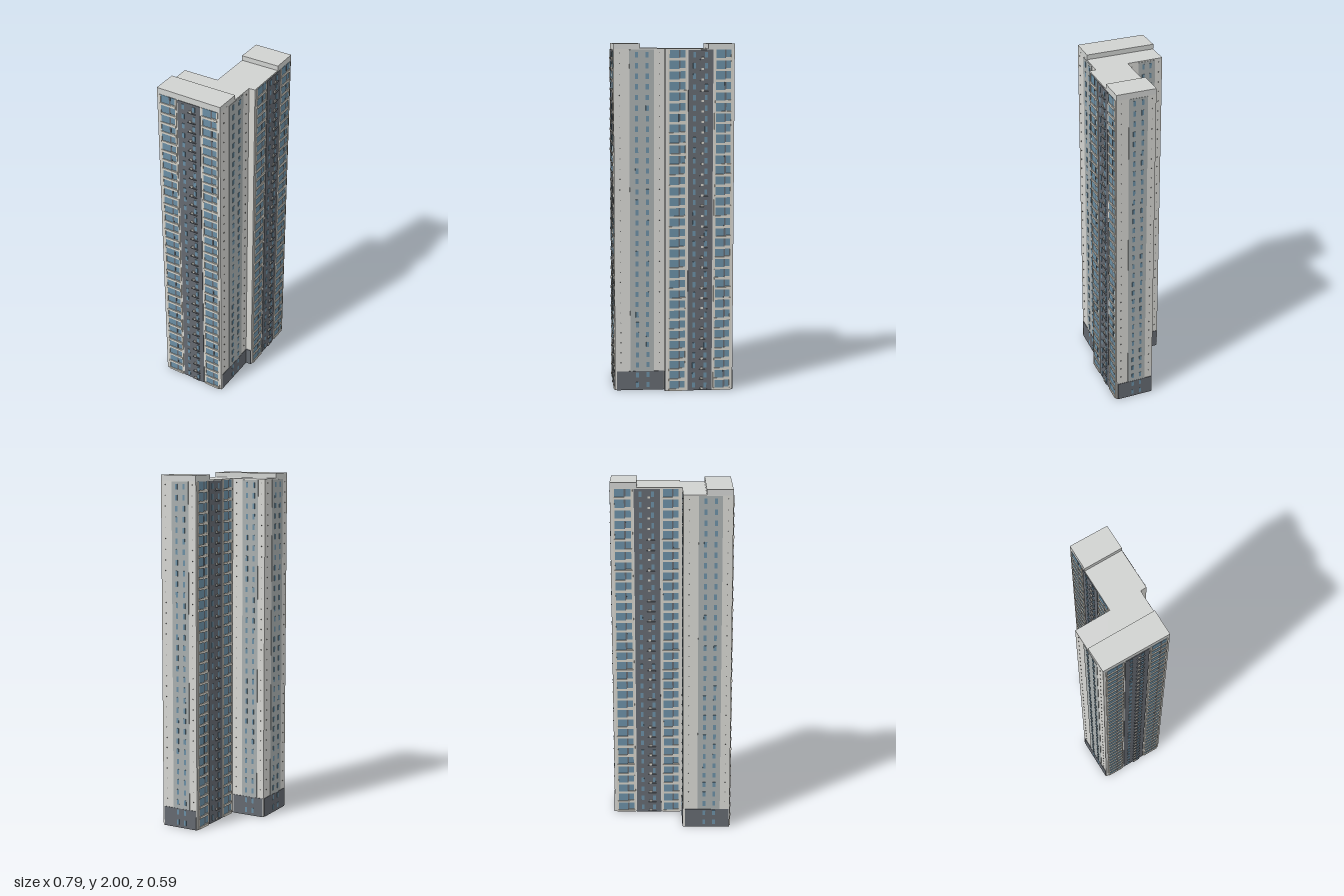
import * as THREE from 'three';
import { mergeGeometries } from 'three/addons/utils/BufferGeometryUtils.js';

const mat = (name, color) => {
  const m = new THREE.MeshStandardMaterial({ color });
  m.name = name;
  return m;
};

const FLOORS = 33, EAVES = 1.965, PITCH = EAVES / FLOORS;

// Footprint corners as [x, z]
const A = [-0.397, 0.0], B = [-0.195, -0.182], C = [-0.055, -0.03], D = [0.248, -0.297];
const E = [0.397, -0.13], F = [0.105, 0.131], G = [0.08, 0.105], H = [-0.137, 0.294];
const roofLeft = [[-0.29, -0.098], [-0.025, 0.196]];
const roofRight = [[0.135, -0.198], [0.287, -0.031]];

function prism(points, y0, y1, material, name) {
  const shape = new THREE.Shape(points.map(([x, z]) => new THREE.Vector2(x, -z)));
  const geo = new THREE.ExtrudeGeometry(shape, { depth: y1 - y0, bevelEnabled: false });
  geo.rotateX(-Math.PI / 2).translate(0, y0, 0);
  const mesh = new THREE.Mesh(geo, material);
  mesh.name = name;
  return mesh;
}

// A facade runs from its left corner a to its right corner b, seen from outside.
// Plates are given as fractions along the facade, heights, and a depth range.
function facade(name, a, b) {
  const group = new THREE.Group();
  group.name = name;
  const dx = b[0] - a[0], dz = b[1] - a[1], len = Math.hypot(dx, dz);
  group.position.set(a[0], 0, a[1]);
  group.rotation.y = Math.atan2(-dz, dx);
  const lists = new Map();
  return {
    plate(part, material, f0, f1, y0, y1, depth) {
      const geo = new THREE.BoxGeometry((f1 - f0) * len, y1 - y0, depth);
      geo.translate((f0 + f1) / 2 * len, (y0 + y1) / 2, depth / 2);
      if (!lists.has(part)) lists.set(part, { material, geos: [] });
      lists.get(part).geos.push(geo);
    },
    finish() {
      for (const [part, { material, geos }] of lists) {
        const mesh = new THREE.Mesh(mergeGeometries(geos), material);
        mesh.name = part;
        group.add(mesh);
      }
      return group;
    },
  };
}

export function createModel() {
  const wall = mat('pale wall', 0xd6d6d2);
  const roof = mat('roof grey', 0xd0d2d0);
  const band = mat('grey band', 0xa9afaf);
  const dark = mat('dark cladding', 0x646970);
  const glass = mat('blue glass', 0x6a8ea4);
  const trim = mat('balcony trim', 0xd4d1c8);
  const vent = mat('vent grey', 0x70706e);
  const ground = mat('underside', 0x6a6a6c);

  const model = new THREE.Group();
  model.name = 'towerBlock';

  // Main body, underside and the roof steps
  model.add(prism([A, H, G, F, E, D, C, B], 0.003, 1.968, wall, 'body'));
  model.add(prism([A, H, G, F, E, D, C, B], 0, 0.003, ground, 'underside'));
  model.add(prism([A, H, G, F, E, D, C, B], 1.968, 1.972, roof, 'lowerRoof'));
  model.add(prism([A, H, roofLeft[1], roofLeft[0]], 1.972, 2, roof, 'raisedRoofLeftEnd'));
  model.add(prism([roofRight[0], roofRight[1], E, D], 1.972, 2, roof, 'raisedRoofRightEnd'));

  // Plain end walls: grey band, two window columns, dark plinth, small vents
  const plainWall = (name, a, b) => {
    const f = facade(name, a, b);
    f.plate('band', band, 0.31, 0.79, 0.112, EAVES, 0.002);
    f.plate('plinth', dark, 0.04, 0.98, 0, 0.112, 0.003);
    for (let i = 0; i < FLOORS; i++) {
      const y = i * PITCH;
      for (const c of [0.45, 0.66]) f.plate('windows', glass, c - 0.03, c + 0.03, y + 0.016, y + 0.046, 0.004);
      if (i < 2) continue;
      for (const c of [0.12, 0.9]) f.plate('vents', vent, c - 0.008, c + 0.008, y + 0.04, y + 0.045, 0.003);
    }
    model.add(f.finish());
  };
  plainWall('frontEndWall', H, G);
  plainWall('rightEndWall', E, D);
  plainWall('backCourtWall', C, B);
  plainWall('leftEndWall', B, A);

  // Narrow return beside the front step
  const step = facade('frontStep', G, F);
  step.plate('plinth', dark, 0, 0.95, 0, 0.112, 0.003);
  model.add(step.finish());

  // Balcony facades: two glazed bays either side of a dark strip
  const balconyWall = (name, a, b) => {
    const f = facade(name, a, b);
    f.plate('darkStrip', dark, 0.33, 0.69, 0, EAVES, 0.003);
    for (const [l, r] of [[0.05, 0.3], [0.72, 0.96]]) {
      const m = l + (r - l) * 0.62;
      f.plate('bayGlass', glass, l, r, 0, EAVES, 0.002);
      for (const c of [l, r]) f.plate('pilasters', trim, c - 0.012, c + 0.012, 0, EAVES, 0.004);
      f.plate('mullions', dark, m - 0.012, m + 0.012, 0, EAVES, 0.003);
      for (let i = 0; i < FLOORS; i++) {
        const y = i * PITCH;
        f.plate('balconySlabs', trim, l, r, y, y + 0.013, 0.007);
        f.plate('balconyRails', trim, m, r, y + 0.013, y + 0.018, 0.005);
      }
    }
    for (let i = 0; i < FLOORS; i++) {
      const y = i * PITCH;
      for (const c of [0.42, 0.59]) f.plate('stripWindows', glass, c - 0.02, c + 0.02, y + 0.016, y + 0.046, 0.005);
      // Small shelf with a cooling unit on each floor
      f.plate('unitShelves', dark, 0.5, 0.62, y + 0.004, y + 0.007, 0.01);
      f.plate('coolingUnits', trim, 0.52, 0.555, y + 0.007, y + 0.018, 0.008);
    }
    model.add(f.finish());
  };
  balconyWall('leftBalconyFacade', A, H);
  balconyWall('frontBalconyFacade', F, E);
  balconyWall('backBalconyFacade', D, C);

  return model;
}
